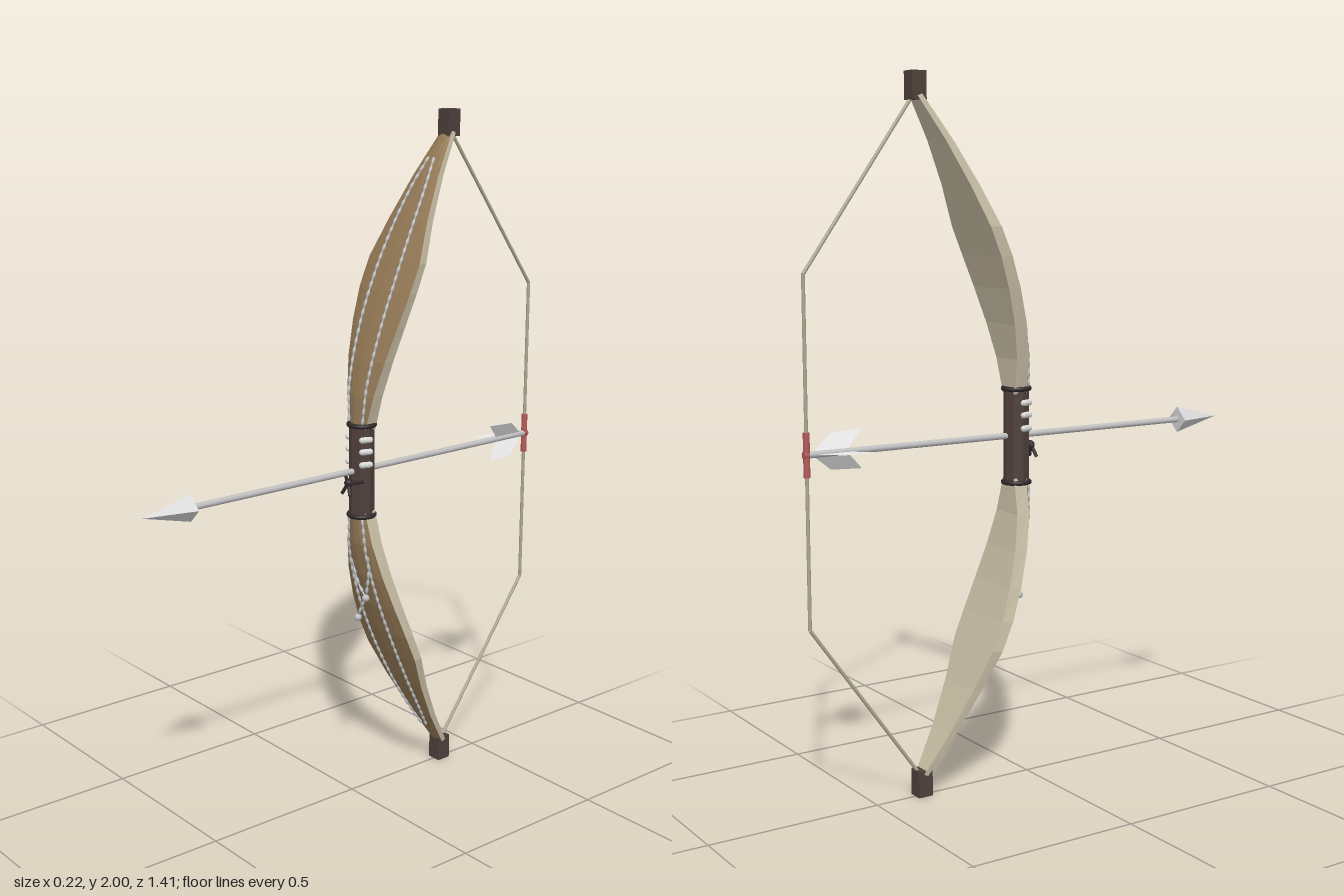
import * as THREE from 'three';
import { mergeGeometries } from 'three/addons/utils/BufferGeometryUtils.js';

const mat = (name, color, extra = {}) => {
  const m = new THREE.MeshStandardMaterial({ color, ...extra });
  m.name = name;
  return m;
};
const V = (x, y, z) => new THREE.Vector3(x, y, z);

// Limb profile: height, front z, half width, depth
const PROFILE = [
  [1.12, -0.004, 0.031, 0.058], [1.22, -0.012, 0.057, 0.056], [1.32, -0.035, 0.079, 0.054],
  [1.42, -0.068, 0.097, 0.051], [1.51, -0.103, 0.108, 0.048], [1.59, -0.139, 0.108, 0.045],
  [1.70, -0.192, 0.080, 0.039], [1.82, -0.260, 0.051, 0.032], [1.94, -0.340, 0.022, 0.025],
];
const BULGE = 0.32; // share of the depth taken by the rounded front

// Depth of the front skin of the upper limb
function frontZ(x, y) {
  let i = 0;
  while (i < PROFILE.length - 2 && PROFILE[i + 1][0] < y) i++;
  const a = PROFILE[i], b = PROFILE[i + 1];
  const t = (y - a[0]) / (b[0] - a[0]);
  const [z, w, d] = [1, 2, 3].map((k) => a[k] + (b[k] - a[k]) * t);
  return z - BULGE * d * (x / w) ** 2;
}

// Surface through rows of points
function skin(rows) {
  const pos = [], idx = [], n = rows[0].length;
  rows.forEach((r) => r.forEach((p) => pos.push(p.x, p.y, p.z)));
  for (let r = 0; r < rows.length - 1; r++) {
    for (let i = 0; i < n - 1; i++) {
      const a = r * n + i, d = a + n;
      idx.push(a, a + 1, d + 1, a, d + 1, d);
    }
  }
  const g = new THREE.BufferGeometry();
  g.setAttribute('position', new THREE.Float32BufferAttribute(pos, 3));
  g.setIndex(idx);
  g.computeVertexNormals();
  return g;
}

export function createModel() {
  const model = new THREE.Group();
  model.name = 'bowAndArrow';
  const flat = { flatShading: true };
  const wood = mat('brown wood', 0x957a56, flat);
  const horn = mat('pale horn', 0xc8bea5, flat);
  const leather = mat('dark leather', 0x4f403b, flat);
  const binding = mat('black binding', 0x30282a);
  const silver = mat('silver', 0xbcc0c4);
  const steel = mat('steel', 0xbebebe);
  const blade = mat('bright steel', 0xd6d6d6, flat);
  const feather = mat('white feather', 0xececec, { side: THREE.DoubleSide });
  const cord = mat('bow cord', 0xaea890);
  const red = mat('red wrap', 0xb65a5a);

  const add = (name, geo, material, x = 0, y = 0, z = 0) => {
    const m = new THREE.Mesh(geo, material);
    m.name = name;
    m.position.set(x, y, z);
    model.add(m);
    return m;
  };
  const rod = (name, a, b, r, material) => {
    const m = add(name, new THREE.CylinderGeometry(r, r, a.distanceTo(b), 18), material);
    m.position.copy(a).lerp(b, 0.5);
    m.quaternion.setFromUnitVectors(V(0, 1, 0), b.clone().sub(a).normalize());
    return m;
  };
  // Fine chain of long smooth links on a thin wire
  const chain = (name, points) => {
    const curve = new THREE.CatmullRomCurve3(points);
    const count = Math.round(curve.getLength() / 0.028);
    const parts = [new THREE.TubeGeometry(curve, 32, 0.0025, 12)];
    for (let i = 0; i <= count; i++) {
      const g = new THREE.SphereGeometry(0.0048, 14, 10).scale(1, 2.4, 1);
      const q = new THREE.Quaternion().setFromUnitVectors(V(0, 1, 0), curve.getTangentAt(i / count));
      const p = curve.getPointAt(i / count);
      parts.push(g.applyQuaternion(q).translate(p.x, p.y, p.z));
    }
    add(name, mergeGeometries(parts), silver);
  };

  // Limbs, nocks, chains and slanted cords, upper and lower
  for (const up of [true, false]) {
    const part = up ? 'upper' : 'lower';
    const Y = (y) => (up ? y : 2 - y);
    const order = (rows) => (up ? rows : rows.reverse());
    const front = PROFILE.map(([y, z, w, d]) =>
      [-1, -0.75, -0.4, 0, 0.4, 0.75, 1].map((s) => V(s * w, Y(y), z - BULGE * d * s * s)));
    const back = PROFILE.map(([y, z, w, d]) => [
      V(w, Y(y), z - BULGE * d), V(w * 0.94, Y(y), z - d),
      V(-w * 0.94, Y(y), z - d), V(-w, Y(y), z - BULGE * d)]);
    add(part + 'LimbFront', skin(order(front)), wood);
    add(part + 'LimbBack', skin(order(back)), horn);
    add(part + 'Nock', new THREE.BoxGeometry(0.044, 0.076, 0.044), leather, 0, Y(1.962), -0.356);
    for (const s of [-1, 1]) {
      const path = [[0.03, 1.15], [0.038, 1.25], [0.045, 1.4], [0.046, 1.55], [0.04, 1.68], [0.028, 1.79], [0.013, 1.86]];
      chain(part + 'LimbChain', path.map(([x, y]) => V(s * x, Y(y), frontZ(x, y) + 0.003)));
    }
    rod(part + 'Cord', V(0, Y(1.935), -0.365), V(0, Y(1.472), -0.695), 0.005, cord);
  }
  rod('middleCord', V(0, 0.528, -0.695), V(0, 1.472, -0.695), 0.005, cord);
  rod('cordWrap', V(0, 0.94, -0.695), V(0, 1.06, -0.695), 0.009, red);

  // Grip with bound ends
  add('grip', new THREE.CylinderGeometry(0.037, 0.037, 0.28, 8), leather, 0, 1, -0.036);
  for (const y of [0.866, 1.134]) {
    add('gripBand', new THREE.TorusGeometry(0.037, 0.007, 12, 28).rotateX(Math.PI / 2), binding, 0, y, -0.036);
  }
  // Bright claws on both sides of the grip
  for (const s of [-1, 1]) {
    for (const y of [1.095, 1.06, 1.022]) {
      const c = add('gripClaw', new THREE.CapsuleGeometry(0.009, 0.024, 5, 14).rotateX(Math.PI / 2), blade,
        s * 0.034, y, -0.024);
      c.rotation.y = -s * 0.3;
    }
  }
  // Dark tie on the front of the grip
  add('tieKnot', new THREE.SphereGeometry(0.013, 14, 10), binding, 0, 0.968, 0.012);
  for (const s of [-1, 1]) {
    rod('tieStrap', V(s * 0.04, 0.975, -0.01), V(0, 0.968, 0.014), 0.005, binding);
    rod('tieEnd', V(0, 0.968, 0.014), V(s * 0.018, 0.935, 0.022), 0.005, binding);
  }

  // Hanging charms
  chain('charmChain', [V(-0.04, 0.74, -0.032), V(-0.02, 0.66, -0.036), V(0.015, 0.61, -0.04)]);
  chain('charmChain', [V(0.04, 0.74, -0.032), V(0.03, 0.67, -0.036), V(0.015, 0.61, -0.04)]);
  chain('charmChain', [V(0.015, 0.61, -0.04), V(-0.006, 0.575, -0.04), V(-0.02, 0.54, -0.04)]);
  for (const [x, y] of [[0.015, 0.61], [-0.02, 0.54]]) {
    add('charmBead', new THREE.SphereGeometry(0.011, 16, 12), silver, x, y, -0.04);
  }

  // Arrow
  rod('arrowShaft', V(0, 1, -0.695), V(0, 1, 0.56), 0.009, steel);
  rod('arrowNock', V(0, 1, -0.704), V(0, 1, -0.69), 0.01, red);
  add('arrowHead', new THREE.ConeGeometry(0.039, 0.152, 4).rotateX(Math.PI / 2), blade, 0, 1, 0.628);
  const vane = new THREE.Shape([[0.007, 0.672], [0.058, 0.61], [0.064, 0.515], [0.007, 0.57]]
    .map(([r, z]) => new THREE.Vector2(r, z)));
  for (let i = 0; i < 3; i++) {
    const f = add('fletching', new THREE.ShapeGeometry(vane).rotateX(-Math.PI / 2), feather, 0, 1, 0);
    f.rotation.z = Math.PI / 3 + (i * 2 * Math.PI) / 3;
  }
  return model;
}
